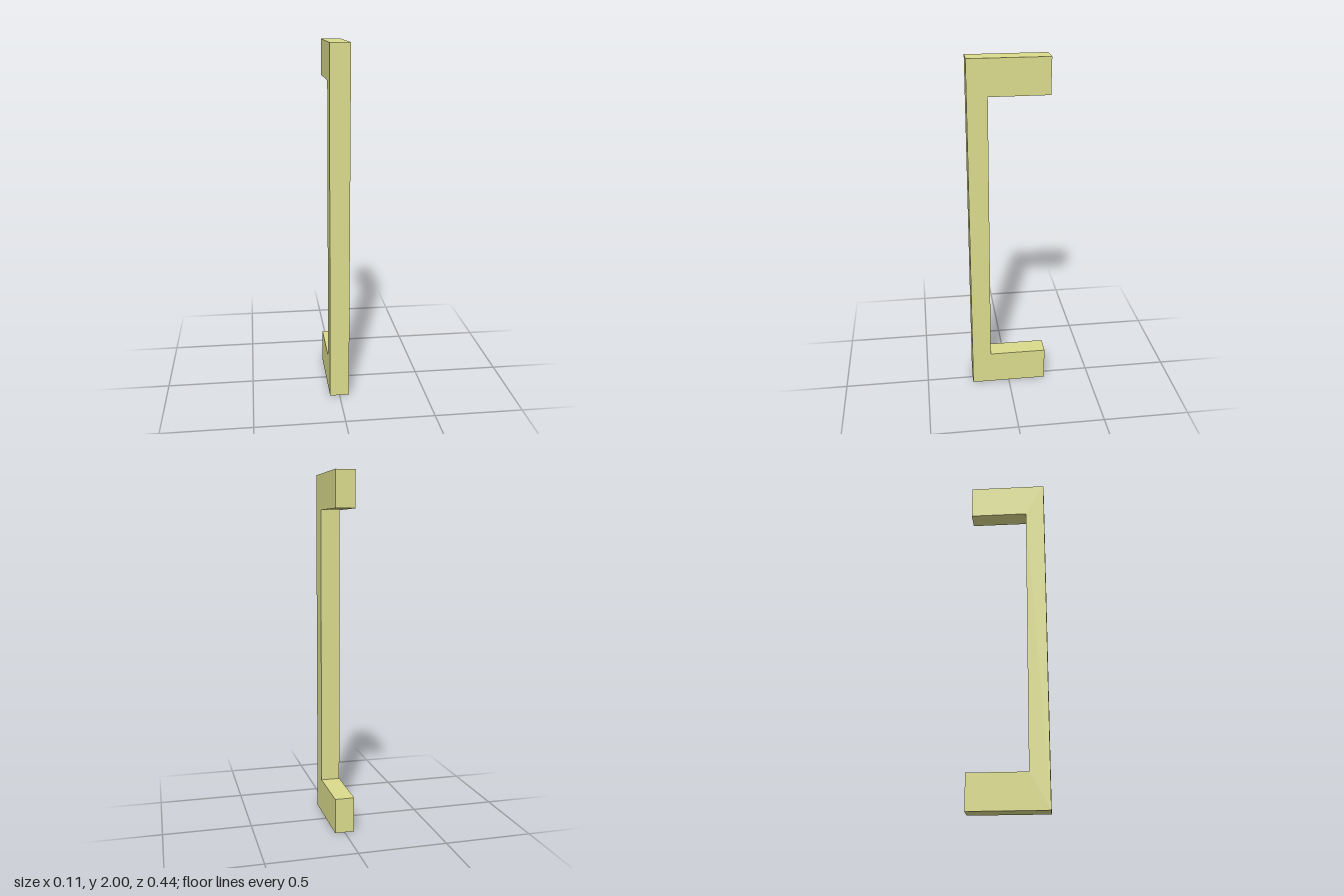
import * as THREE from 'three';

const WIDTH = 0.11;   // thickness across x
const DEPTH = 0.222;  // half depth along z
const INNER = 0.111;  // back face of the grip
const FOOT = 0.2;     // height of each mounting arm
const HEIGHT = 2;

export function createModel() {
  const group = new THREE.Group();
  group.name = 'pullHandle';

  // C-shaped side profile: grip at the front, two arms reaching back
  const profile = new THREE.Shape([
    [-DEPTH, 0], [DEPTH, 0], [DEPTH, HEIGHT], [-DEPTH, HEIGHT],
    [-DEPTH, HEIGHT - FOOT], [INNER, HEIGHT - FOOT], [INNER, FOOT], [-DEPTH, FOOT],
  ].map(([z, y]) => new THREE.Vector2(z, y)));

  const geometry = new THREE.ExtrudeGeometry(profile, { depth: WIDTH, bevelEnabled: false });
  geometry.translate(0, 0, -WIDTH / 2);
  geometry.rotateY(-Math.PI / 2); // profile's horizontal axis becomes z

  const handle = new THREE.Mesh(geometry, new THREE.MeshStandardMaterial({ color: 0xdbdc8c }));
  handle.name = 'handle';
  group.add(handle);
  return group;
}
